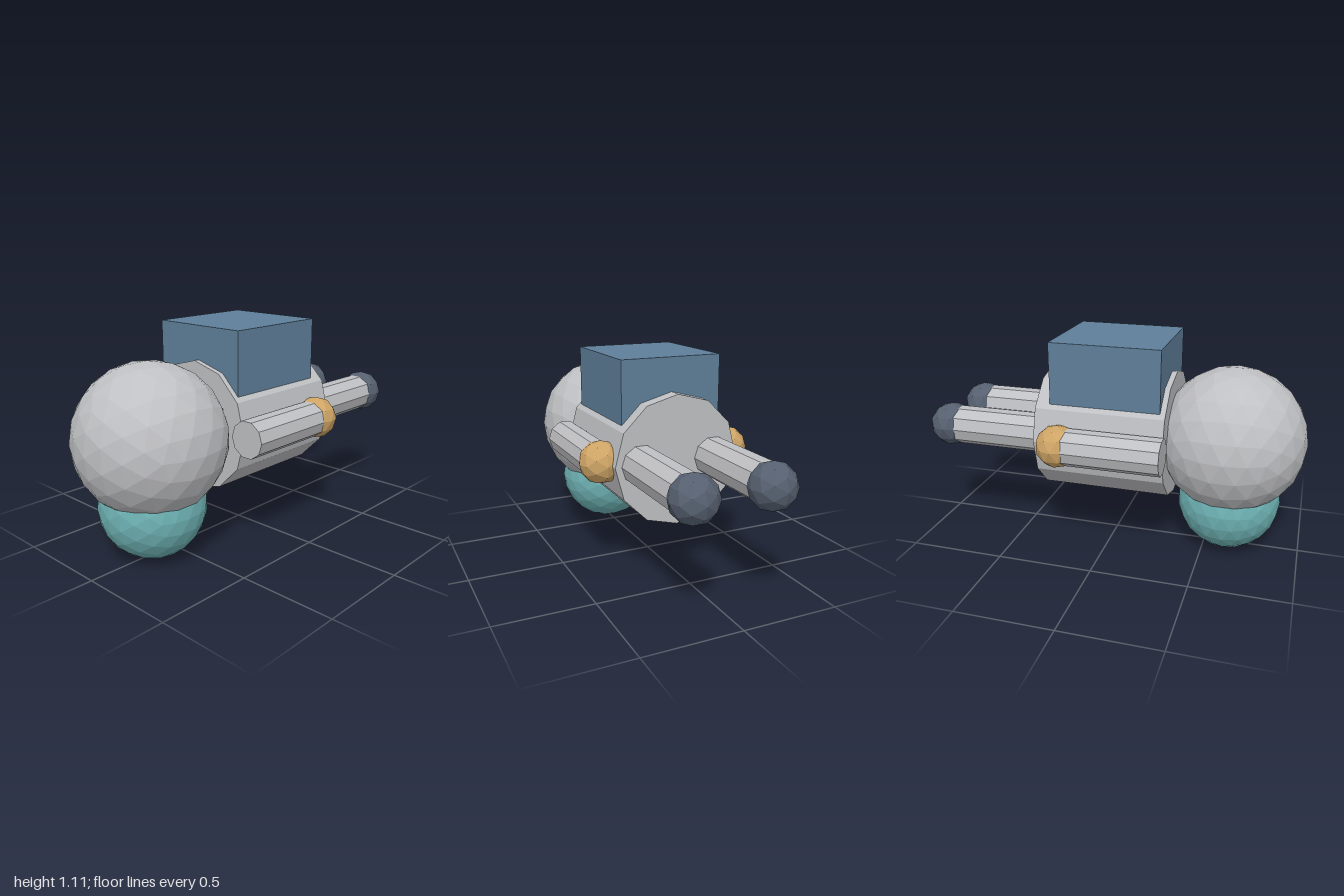
import * as THREE from 'three';

const paint = (name, color) => {
  const m = new THREE.MeshStandardMaterial({ color, flatShading: true });
  m.name = name;
  return m;
};

export function createModel() {
  const model = new THREE.Group();
  const grey = paint('light grey', 0xbfc0c3);
  const teal = paint('teal', 0x6fb3b5);
  const blue = paint('steel blue', 0x5f7f99);
  const slate = paint('dark slate', 0x566070);
  const tan = paint('tan', 0xcfa566);

  const add = (name, geometry, material, x, y, z) => {
    const mesh = new THREE.Mesh(geometry, material);
    mesh.name = name;
    mesh.position.set(x, y, z);
    model.add(mesh);
  };
  const ball = (name, r, detail, material, x, y, z) =>
    add(name, new THREE.IcosahedronGeometry(r, detail), material, x, y, z);
  // faceted rod lying along z, with a corner pointing towards +x
  const rod = (name, r, sides, z0, z1, x, y) => {
    const g = new THREE.CylinderGeometry(r, r, z1 - z0, sides, 1, false, Math.PI / 2);
    add(name, g.rotateX(Math.PI / 2), grey, x, y, (z0 + z1) / 2);
  };

  const midY = 0.606;

  // head and the chin ball sunk into it
  ball('head', 0.379, 3, grey, 0, 0.604, 0.619);
  ball('beard', 0.268, 3, teal, 0, 0.271, 0.619);

  // torso and backpack
  rod('torso', 0.334, 12, -0.353, 0.32, 0, midY);
  add('backpack', new THREE.BoxGeometry(0.537, 0.532, 0.572), blue, 0, 0.846, 0.006);

  // limbs, mirrored
  for (const [side, s] of [['left', 1], ['right', -1]]) {
    rod(side + 'Arm', 0.095, 10, -0.215, 0.328, s * 0.357, midY);
    ball(side + 'Hand', 0.11, 1, tan, s * 0.356, midY, -0.215);
    rod(side + 'Leg', 0.102, 10, -0.88, -0.3, s * 0.198, midY);
    ball(side + 'Foot', 0.117, 1, slate, s * 0.198, midY, -0.882);
  }
  return model;
}
